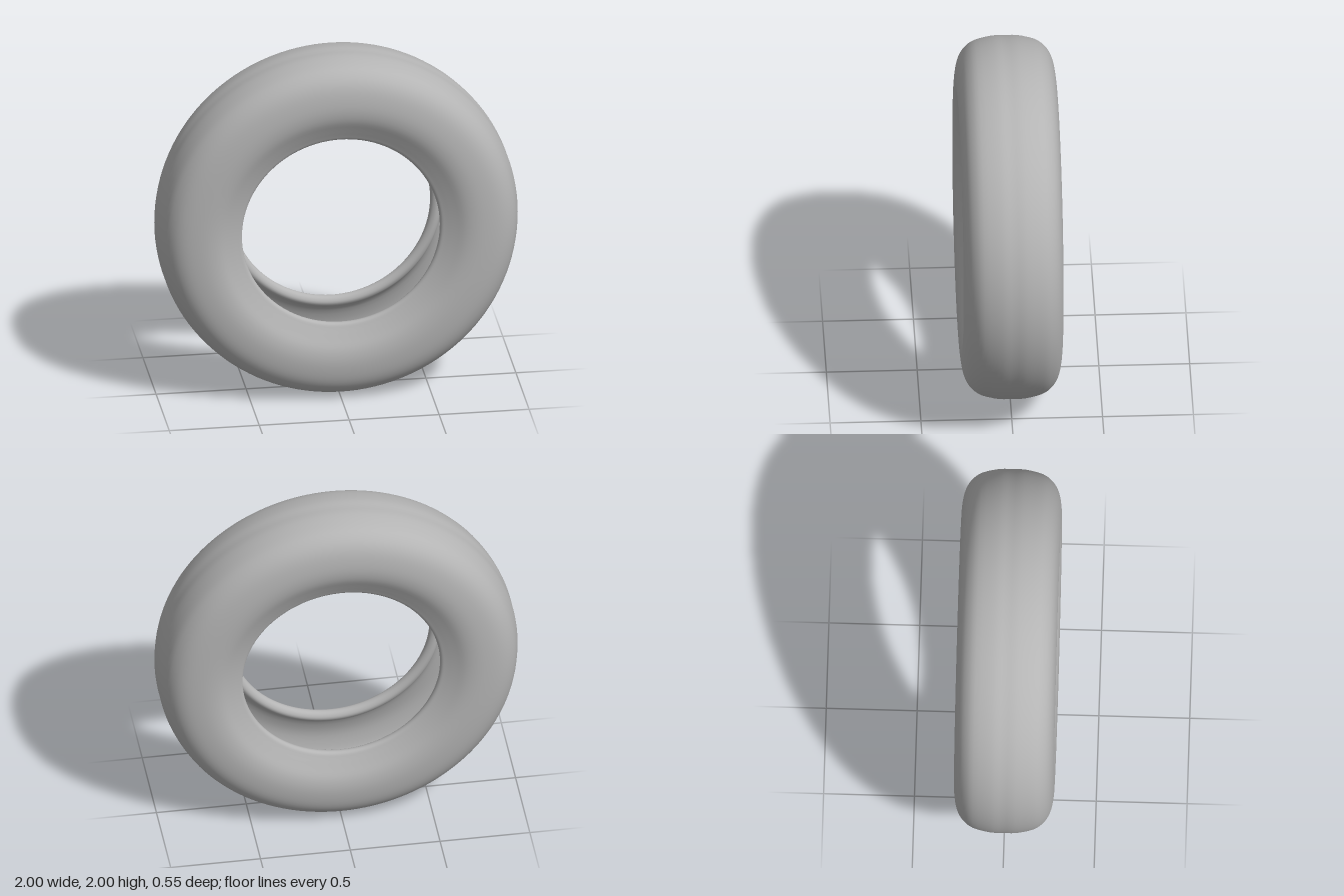
import * as THREE from 'three';

export function createModel() {
  const rubber = new THREE.MeshStandardMaterial({ color: 0xb4b4b4 });
  rubber.name = 'greyRubber';

  // Half cross-section [radius, offset from centre]: tread, sidewall, rolled bead, hollow inside
  const half = [
    [1, 0], [1, 0.07], [0.978, 0.165], [0.945, 0.215], [0.9, 0.248], [0.84, 0.267], [0.76, 0.275],
    [0.69, 0.265], [0.63, 0.238], [0.582, 0.215], [0.558, 0.203], [0.55, 0.185], [0.558, 0.163],
    [0.582, 0.152], [0.606, 0.163], [0.62, 0.188], [0.66, 0.222], [0.75, 0.248], [0.84, 0.243],
    [0.9, 0.222], [0.945, 0.165], [0.967, 0.07], [0.97, 0],
  ];
  const back = half.slice(1).reverse().map(([r, z]) => [r, -z]);

  // Run from the hollow's middle, around the back bead, over the tread and back inside
  const path = new THREE.SplineCurve(
    [...back, ...half].map(([r, z]) => new THREE.Vector2(r, z)));
  const tyre = new THREE.Mesh(new THREE.LatheGeometry(path.getPoints(132), 128), rubber);
  tyre.name = 'tyre';
  tyre.rotation.x = Math.PI / 2;
  tyre.position.y = 1;

  const group = new THREE.Group();
  group.name = 'hollowTyre';
  group.add(tyre);
  return group;
}
